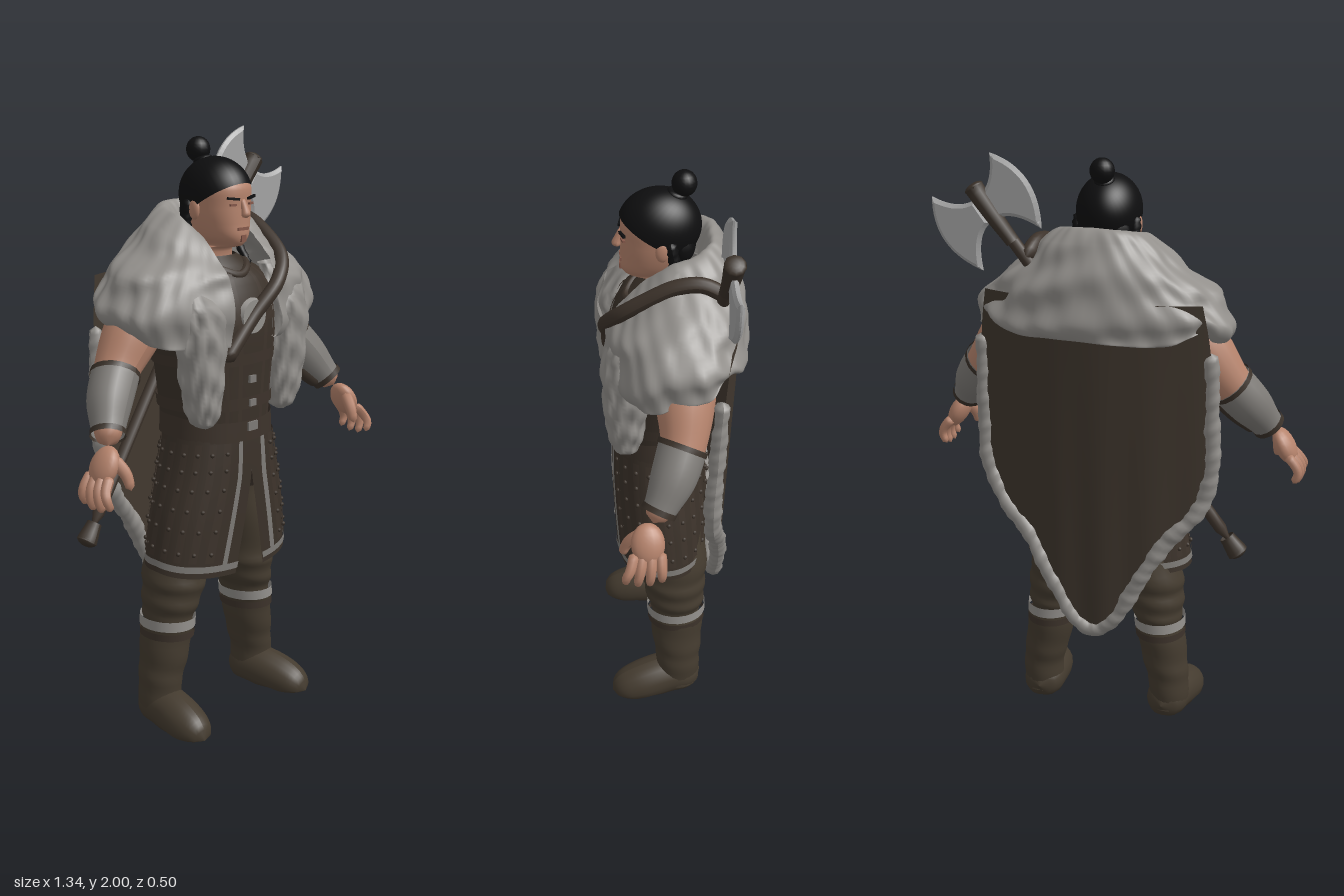
import * as THREE from 'three';
import { ParametricGeometry } from 'three/addons/geometries/ParametricGeometry.js';

const mat = (name, color, side = THREE.FrontSide) => {
  const m = new THREE.MeshStandardMaterial({ color, side });
  m.name = name;
  return m;
};
const D = THREE.DoubleSide;

// Smooth interpolation of table rows (all the same length), t in 0..1
function sample(rows, t) {
  const f = Math.min(Math.max(t, 0), 1) * (rows.length - 1);
  const i = Math.min(Math.floor(f), rows.length - 2), k = f - i;
  const a = rows[Math.max(i - 1, 0)], b = rows[i], c = rows[i + 1], d = rows[Math.min(i + 2, rows.length - 1)];
  return b.map((_, n) => {
    const m0 = (c[n] - a[n]) / 2, m1 = (d[n] - b[n]) / 2;
    return b[n] + k * (m0 + k * (3 * (c[n] - b[n]) - 2 * m0 - m1 + k * (2 * (b[n] - c[n]) + m0 + m1)));
  });
}

// Surface round a vertical axis. Rows run upward: [y, centreX, zBack, zFront, radiusX, frontLift, backLift]
function surface(rows, { gap = () => 0, bump = () => 0, lift = () => 0, pow = 0.9, u: ur = [0, 1], v: vr = [0, 1], out = 0 } = {}) {
  return (u, v, target) => {
    const t = vr[0] + v * (vr[1] - vr[0]), s = ur[0] + u * (ur[1] - ur[0]);
    const [y, cx, zb, zf, rx, df = 0, db = 0] = sample(rows, t);
    const a0 = Math.asin(Math.pow(Math.min(gap(y) / rx, 0.9), 1 / pow));
    const a = a0 + s * (2 * Math.PI - 2 * a0), sn = Math.sin(a), cs = Math.cos(a);
    const p = (x) => Math.sign(x) * Math.pow(Math.abs(x), pow), k = 1 + bump(a, t);
    return target.set(cx + p(sn) * (rx * k + out), y + (cs > 0 ? df : db) * Math.abs(cs) + lift(a, t),
      (zb + zf) / 2 + p(cs) * ((zf - zb) / 2 * k + out));
  };
}
const wrap = (rows, opt, slices = 40, stacks = 20) => new ParametricGeometry(surface(rows, opt), slices, stacks);

// Round-ended tapered tube through points
function limb(pts, radii, { seg = 20, sides = 12, round = true, bump = () => 0 } = {}) {
  const curve = new THREE.CatmullRomCurve3(pts.map((p) => new THREE.Vector3(...p)));
  const g = new THREE.TubeGeometry(curve, seg, 1, sides), pos = g.attributes.position;
  const len = curve.getLength(), p = new THREE.Vector3(), rr = radii.map((r) => [r]);
  for (let i = 0; i <= seg; i++) {
    const t = i / seg, c = curve.getPointAt(t), r = sample(rr, t)[0];
    const k = Math.min(1, Math.min(t, 1 - t) * len / r);
    const f = round ? Math.sqrt(1 - (1 - k) ** 2) : 1;
    for (let j = 0; j <= sides; j++) {
      const n = i * (sides + 1) + j;
      p.fromBufferAttribute(pos, n).sub(c).multiplyScalar(r * f * (1 + bump(t, j / sides))).add(c);
      pos.setXYZ(n, p.x, p.y, p.z);
    }
  }
  g.computeVertexNormals();
  return g;
}

export function createModel() {
  const root = new THREE.Group();
  const fur = mat('fur grey', 0x93908c, D), cloth = mat('cape brown', 0x40372e, D), armour = mat('leather dark', 0x3a3129, D);
  const boot = mat('boot brown', 0x443b2f), trim = mat('trim grey', 0x7d7a76, D), skin = mat('skin', 0xb5836c);
  const hair = mat('hair black', 0x0e0e0f), steel = mat('steel', 0xa3a3a3, D), strapMat = mat('strap brown', 0x3d332b, D);
  const lip = mat('lip', 0x85584a);
  const add = (name, g, m, parent = root) => {
    const mesh = new THREE.Mesh(g, m);
    mesh.name = name;
    parent.add(mesh);
    return mesh;
  };
  const ball = (name, m, [x, y, z], [a, b, c], rz = 0) => {
    const mesh = add(name, new THREE.SphereGeometry(1, 18, 12).scale(a, b, c), m);
    mesh.position.set(x, y, z);
    mesh.rotation.z = rz;
  };
  const box = (name, m, [x, y, z], [a, b, c], rz = 0) => {
    const mesh = add(name, new THREE.BoxGeometry(a, b, c), m);
    mesh.position.set(x, y, z);
    mesh.rotation.z = rz;
    return mesh;
  };

  // Torso armour with lacing bands and buckles
  const torso = [[1.0, 0, -.12, .19, .19], [1.2, 0, -.14, .2, .21], [1.4, 0, -.15, .205, .24],
    [1.52, 0, -.14, .17, .23], [1.58, 0, -.1, .12, .14], [1.61, 0, -.08, .09, .09]];
  add('torsoArmour', wrap(torso), armour);
  for (const v of [.12, .26, .4]) add('torsoBand', wrap(torso, { v: [v, v + .035], out: .007 }, 40, 2), strapMat);
  for (const u of [.035, .075, .925, .965]) add('torsoSeam', wrap(torso, { u: [u - .006, u + .006], v: [.05, .75], out: .006 }, 2, 14), strapMat);
  add('neckCollar', limb([[-.1, 1.6, .06], [-.06, 1.57, .12], [0, 1.55, .145], [.06, 1.57, .12], [.1, 1.6, .06]], [.014, .014]), strapMat);
  const disc = add('chestDisc', new THREE.CylinderGeometry(.055, .062, .016, 28).rotateX(Math.PI / 2), fur);
  disc.position.set(0, 1.42, .205);
  for (const y of [1.21, 1.13]) box('buckle', trim, [0, y, .203], [.03, .024, .014]);
  const belt = [[1.02, 0, -.13, .205, .205, -.02], [1.09, 0, -.13, .205, .2, -.02]];
  add('belt', wrap(belt, {}, 40, 4), strapMat);
  box('beltBuckle', trim, [0, 1.05, .206], [.045, .03, .012]);

  // Split skirt with straps, studs and grey edging
  const skirt = [[.57, 0, -.12, .2, .3, -.03], [.75, 0, -.12, .205, .27, -.02], [.92, 0, -.115, .205, .225, 0], [1.05, 0, -.11, .2, .195, 0]];
  const gap = (y) => Math.max(0, (.89 - y) * .22);
  add('skirt', wrap(skirt, { gap }, 60, 16), armour);
  add('skirtHem', wrap(skirt, { gap, v: [.055, .1], out: .004 }, 60, 2), trim);
  for (const [a, b] of [[.028, .045], [.96, .972]]) add('skirtFrontEdge', wrap(skirt, { gap, u: [a, b], v: [.055, .85], out: .004 }, 3, 12), trim);
  const studGeo = new THREE.SphereGeometry(.008, 8, 6), spot = surface(skirt, { gap, out: .005 });
  for (let i = 0; i < 20; i++) {
    const u = .075 + i * .85 / 19;
    add('skirtStrap', wrap(skirt, { gap, u: [u - .011, u + .011], v: [.12, .85], out: .005 }, 3, 8), strapMat);
    for (let j = 0; j < 6; j++) spot(u, .17 + j * .12, add('skirtStud', studGeo, armour).position);
  }

  // Cape sheet with a fur border
  const capeRows = [[.36, .015], [.4, .07], [.52, .14], [.7, .24], [.83, .35], [.95, .395], [1.18, .4], [1.4, .395], [1.56, .37]];
  const capeZ = (x, y) => -.158 - .065 * (y - .35) / 1.2 + .09 * (x / .42) ** 2 + .003 * Math.sin(x * 38) * (1.6 - y);
  add('cape', new ParametricGeometry((u, v, p) => {
    const [y, w] = sample(capeRows, v), x = (2 * u - 1) * w;
    p.set(x, y, capeZ(x, y));
  }, 40, 40), cloth);
  const edge = capeRows.slice(0, -1).map(([y, w]) => [w, y, capeZ(w, y) + .008]);
  const outline = [...edge.slice().reverse(), ...edge.map(([x, y, z]) => [-x, y, z])];
  add('capeFurBorder', limb(outline, [.024, .03, .026, .03, .024],
    { seg: 180, sides: 10, bump: (t, j) => .06 * Math.sin(t * 143) + .09 * Math.sin(t * 67 + j * 12.566) + .06 * Math.sin(t * 311 + j * 6.283) }), fur);

  // Fur mantle over the shoulders, open at the front and arched above the arms
  const tufts = (a, t) => .014 * Math.sin(a * 9 + 5 * Math.sin(t * 6)) + .022 * Math.sin(t * 27 + Math.sin(a * 3) * 1.5) + .008 * Math.sin(a * 23 + t * 17);
  const arch = (a, t) => {
    const b = Math.abs(a - Math.PI);
    return Math.max(0, 1 - t * 2.4) * (.085 * Math.exp(-(((b - 1) / .3) ** 2)) + .04 * Math.exp(-(((b - 1.6) / .25) ** 2)));
  };
  const mantle = [[1.4, 0, -.19, .17, .36, -.05, .04], [1.385, 0, -.235, .215, .42, -.05, .045], [1.47, 0, -.24, .23, .43, -.06, .01],
    [1.565, 0, -.232, .228, .385, -.06, 0], [1.635, 0, -.21, .205, .29, -.07, .02], [1.705, 0, -.175, .17, .21, -.1, .03],
    [1.75, 0, -.13, .13, .14, -.11, .03], [1.68, 0, -.08, .11, .11, -.07, .02]];
  add('furMantle', wrap(mantle, { gap: () => .115, bump: tufts, lift: arch, pow: .82 }, 110, 56), fur);

  // Shoulder strap over the fur and across the chest
  add('chestStrap', limb([[.225, 1.67, -.16], [.215, 1.712, -.08], [.208, 1.705, 0], [.2, 1.665, .08], [.175, 1.597, .172], [.11, 1.525, .215], [0, 1.42, .205], [-.13, 1.285, .2]],
    [.025, .025], { seg: 44 }), strapMat);

  for (const s of [1, -1]) {
    // Front fur flaps
    add('furFlap', wrap([[1.07, .19 * s, .15, .18, .012], [1.1, .195 * s, .12, .21, .05], [1.2, .2 * s, .1, .23, .07], [1.33, .205 * s, .09, .237, .08],
      [1.46, .2 * s, .09, .228, .085], [1.57, .2 * s, .07, .15, .06]], { bump: (a, t) => 2.4 * tufts(a, t * 1.3 + s) }, 32, 36), fur);

    // Arms, bracers and hands
    const m = (pts) => pts.map(([x, y, z]) => [x * s, y, z]);
    add('arm', limb(m([[.26, 1.47, -.02], [.345, 1.375, -.015], [.43, 1.265, 0], [.5, 1.175, .045], [.565, 1.075, .105]]), [.1, .094, .073, .06, .038], { seg: 28, sides: 18 }), skin);
    add('bracer', limb(m([[.43, 1.265, 0], [.49, 1.19, .035], [.545, 1.105, .085]]), [.078, .073, .053], { seg: 10, sides: 18, round: false }), trim);
    for (const [a, b, r] of [[[.428, 1.268, -.001], [.438, 1.255, .006], .082], [[.54, 1.115, .08], [.549, 1.1, .089], .058]])
      add('bracerRim', limb(m([a, b]), [r, r], { seg: 2, sides: 18, round: false }), armour);
    add('bracerStrap', limb(m([[.39, 1.215, .0], [.445, 1.15, .035], [.51, 1.085, .08]]), [.03, .03, .025]), armour);
    ball('palm', skin, [.6 * s, 1.02, .125], [.034, .068, .054], .5 * s);
    for (let i = 0; i < 4; i++) {
      const z = .085 + i * .027, d = Math.abs(i - 1.5) * .012;
      add('finger', limb(m([[.615, 1.0, z], [.65, .955, z + .006 * i], [.655, .915 + d, z + .01 * i], [.64, .882 + d, z + .011 * i]]), [.018, .017, .015, .012], { seg: 12, sides: 8 }), skin);
    }
    add('thumb', limb(m([[.585, 1.05, .14], [.565, 1.0, .185], [.562, .95, .205]]), [.022, .02, .014], { seg: 10, sides: 8 }), skin);

    // Legs: trousers, grey knee cuff, boot shaft and foot
    add('trouserLeg', wrap([[.35, .2 * s, -.085, .085, .075], [.4, .195 * s, -.1, .1, .088], [.47, .18 * s, -.105, .115, .104],
      [.56, .165 * s, -.11, .12, .108], [.8, .11 * s, -.1, .13, .105]], { bump: (a, t) => .03 * Math.sin(t * 24 + a), pow: 1 }, 24, 24), boot);
    add('kneeCuff', wrap([[.345, .203 * s, -.1, .1, .086], [.38, .2 * s, -.1, .1, .087]], { pow: 1, out: .004 }, 24, 2), fur);
    add('cuffTie', wrap([[.31, .205 * s, -.101, .101, .088], [.335, .204 * s, -.102, .102, .089]], { pow: 1 }, 24, 2), strapMat);
    add('bootShaft', wrap([[.03, .24 * s, -.08, .085, .07], [.13, .238 * s, -.082, .075, .072], [.22, .222 * s, -.09, .085, .08], [.345, .203 * s, -.098, .098, .086]],
      { bump: (a, t) => .02 * Math.sin(t * 20 + a), pow: 1 }, 24, 16), boot);
    const foot = limb(m([[.232, .05, -.085], [.24, .05, .03], [.255, .03, .13], [.268, .0, .24]]), [.07, .075, .074, .055], { seg: 24, sides: 20 });
    const fp = foot.attributes.position;
    for (let i = 0; i < fp.count; i++) fp.setY(i, Math.max(0, fp.getY(i)));
    foot.computeVertexNormals();
    add('foot', foot, boot);

    // Ears, brows, eyes and side braids
    ball('ear', skin, [.1 * s, 1.765, .035], [.012, .034, .022]);
    box('brow', hair, [.043 * s, 1.802, .155], [.046, .008, .009], .12 * s).rotation.y = .25 * s;
    box('eye', lip, [.042 * s, 1.782, .153], [.024, .007, .009]).rotation.y = .25 * s;
    add('braid', limb(m([[.098, 1.8, .01], [.1, 1.7, .0], [.094, 1.64, .05], [.088, 1.57, .11]]), [.018, .018, .014, .011], { seg: 24, bump: (t) => .15 * Math.sin(t * 60) }), hair);
  }

  // Head and face
  add('head', wrap([[1.54, 0, -.08, .085, .085], [1.63, 0, -.07, .085, .07], [1.645, 0, -.06, .142, .05], [1.675, 0, -.06, .161, .073], [1.72, 0, -.065, .16, .089],
    [1.775, 0, -.07, .158, .098], [1.84, 0, -.06, .154, .098], [1.875, 0, -.03, .11, .06], [1.885, 0, .03, .05, .01]], {}, 36, 36), skin);
  add('nose', limb([[0, 1.8, .152], [0, 1.765, .167], [0, 1.738, .174]], [.01, .012, .018], { seg: 12 }), skin);
  box('mouth', lip, [0, 1.703, .158], [.05, .01, .008]);
  box('chinBeard', lip, [0, 1.672, .16], [.022, .022, .008]);

  // Hair cap and topknot
  add('hairCap', new THREE.SphereGeometry(1, 36, 24, 0, Math.PI * 2, 0, Math.PI * .58).rotateX(-.6).scale(.108, .122, .133).translate(0, 1.808, .036), hair);
  ball('hairNape', hair, [0, 1.755, -.03], [.09, .075, .05]);
  ball('topknot', hair, [0, 1.948, -.042], [.041, .042, .04]);
  add('topknotTie', new THREE.TorusGeometry(.024, .01, 8, 18).rotateX(1.2).translate(0, 1.914, -.02), hair);

  // Double-bladed axe slung behind the back
  const axe = new THREE.Group();
  axe.name = 'axe';
  root.add(axe);
  add('axeHandle', limb([[-.47, .73, -.085], [-.05, 1.3, -.125], [.385, 1.875, -.15]], [.021, .021], { seg: 24 }), strapMat, axe);
  add('axePommel', limb([[-.495, .695, -.083], [-.455, .75, -.086]], [.036, .026], { seg: 6, round: false }), armour, axe);
  add('axePommelCap', new THREE.SphereGeometry(.035, 12, 8).scale(1, .6, 1).rotateZ(-.64).translate(-.492, .7, -.083), armour, axe);
  add('axeSocket', limb([[.27, 1.72, -.146], [.34, 1.81, -.15], [.4, 1.89, -.15]], [.025, .03, .034], { seg: 10, sides: 8, round: false }), armour, axe);
  add('axeCap', new THREE.SphereGeometry(.034, 10, 8).scale(1, .4, 1).rotateZ(-.64).translate(.4, 1.89, -.15), armour, axe);
  for (const s of [1, -1]) {
    const b = new THREE.Shape();
    b.moveTo(s * .01, -.045);
    b.quadraticCurveTo(s * .08, -.05, s * .128, -.155);
    b.quadraticCurveTo(s * .235, 0, s * .128, .135);
    b.quadraticCurveTo(s * .08, .05, s * .01, .045);
    b.closePath();
    const g = new THREE.ExtrudeGeometry(b, { depth: .006, bevelEnabled: true, bevelThickness: .009, bevelSize: .012, bevelOffset: -.012, bevelSegments: 1, curveSegments: 16 });
    add('axeBlade', g.translate(0, 0, -.003).rotateZ(-.64).translate(.365, 1.82, -.15), steel, axe);
  }
  return root;
}
